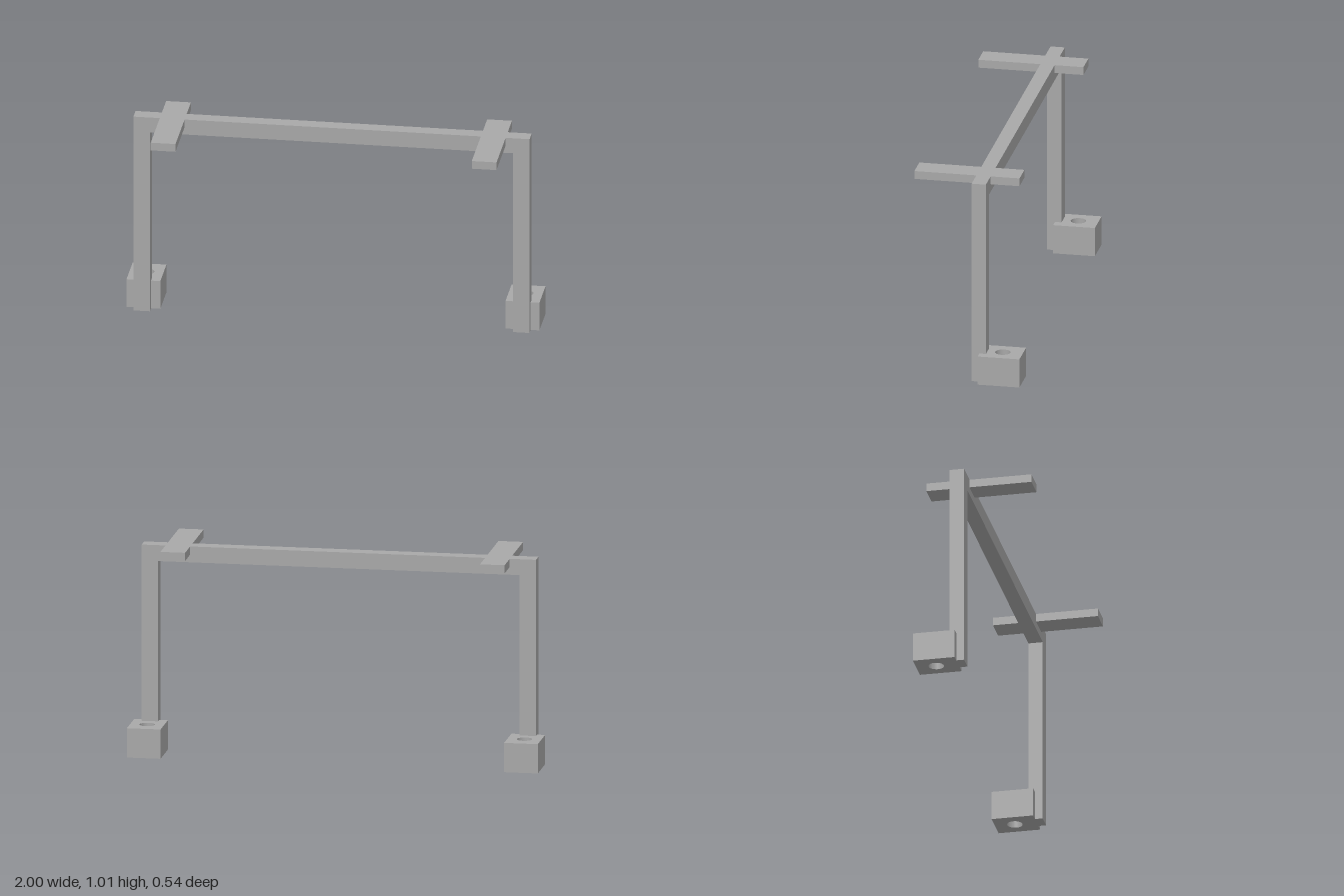
import * as THREE from 'three';

export function createModel() {
  const model = new THREE.Group();
  const grey = new THREE.MeshStandardMaterial({ color: 0xa8a8a8 });
  grey.name = 'grey';

  const add = (geometry, name) => {
    const mesh = new THREE.Mesh(geometry, grey);
    mesh.name = name;
    model.add(mesh);
    return mesh;
  };
  const rectangle = (x0, x1, y0, y1) => new THREE.Shape([
    new THREE.Vector2(x0, y0), new THREE.Vector2(x1, y0),
    new THREE.Vector2(x1, y1), new THREE.Vector2(x0, y1),
  ]);

  // Two posts and the top beam, as one upside-down U
  const outline = new THREE.Shape([
    [-0.962, 0], [-0.882, 0], [-0.882, 0.932], [0.877, 0.932],
    [0.877, 0], [0.957, 0], [0.957, 1.01], [-0.962, 1.01],
  ].map(([x, y]) => new THREE.Vector2(x, y)));
  const frame = new THREE.ExtrudeGeometry(outline, { depth: 0.07, bevelEnabled: false });
  frame.translate(0, 0, -0.1);
  add(frame, 'frame');

  // Flat cross arms set flush with the top of the beam
  for (const [side, x] of [['right', -0.774], ['left', 0.781]]) {
    const arm = add(new THREE.BoxGeometry(0.12, 0.04, 0.514), side + 'CrossArm');
    arm.position.set(x, 0.99, 0.016);
  }

  // Foot blocks behind the posts, each with a vertical through hole
  for (const [side, x] of [['right', -0.919], ['left', 0.917]]) {
    const shape = rectangle(-0.082, 0.082, -0.102, 0.102);
    const hole = new THREE.Path();
    hole.absarc(0, 0.005, 0.037, 0, Math.PI * 2, true);
    shape.holes.push(hole);
    const block = new THREE.ExtrudeGeometry(shape, { depth: 0.144, bevelEnabled: false, curveSegments: 32 });
    block.rotateX(-Math.PI / 2);
    add(block, side + 'FootBlock').position.set(x, 0, -0.17);
  }

  return model;
}
